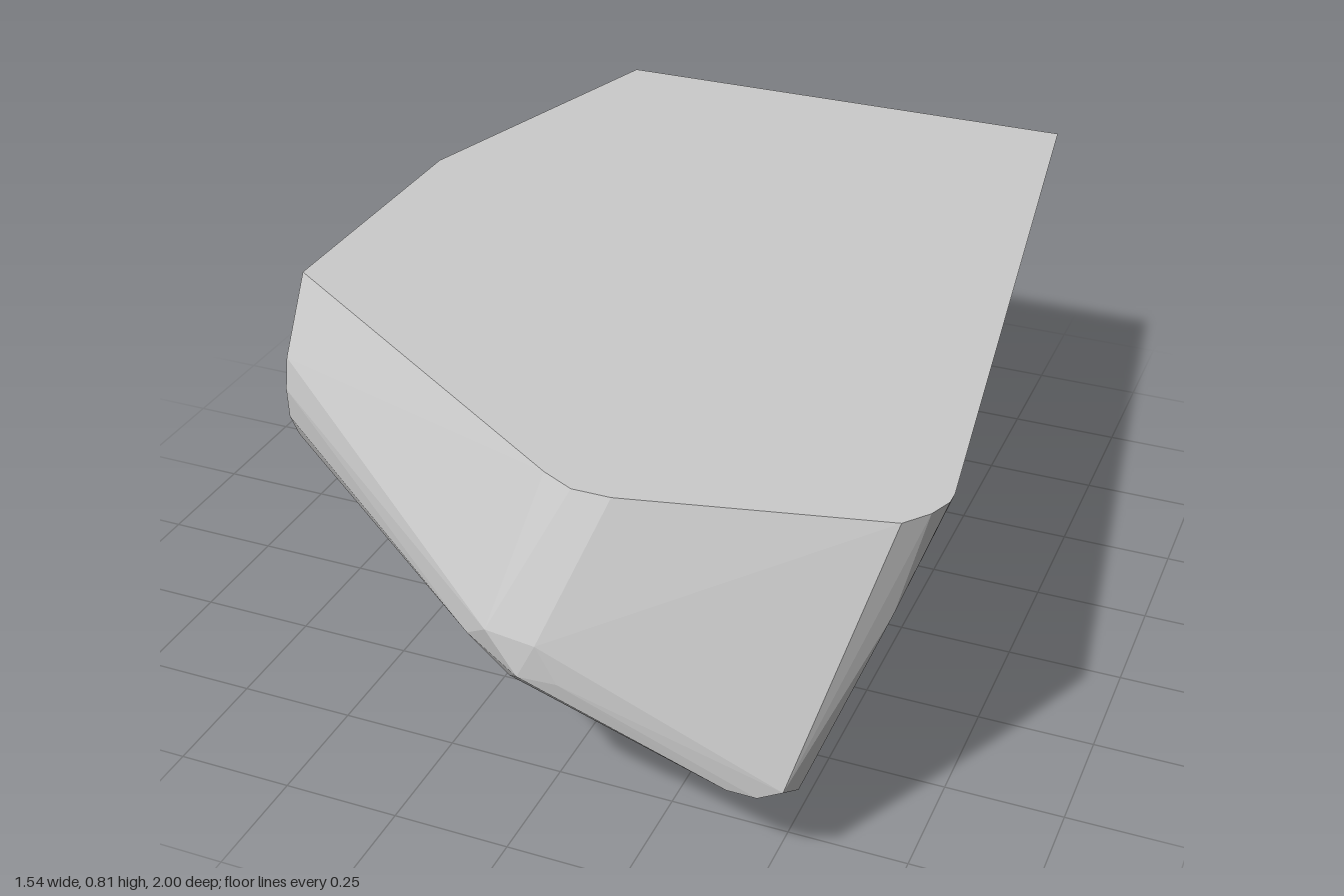
import * as THREE from 'three';
import { ConvexGeometry } from 'three/addons/geometries/ConvexGeometry.js';

const TOP = 0.81, BACK = -1, RIGHT = -0.775;

export function createModel() {
  const group = new THREE.Group();
  group.name = 'rockChunk';

  // flat top outline (x, z)
  const top = [
    [-0.57, BACK], [0.54, BACK], [0.77, 0.66], [0.77, 0.69], [0.75, 0.74], [0.71, 0.79],
    [0.2, 0.905], [0.12, 0.905], [0.05, 0.87], [RIGHT, 0.33], [RIGHT, -0.3],
  ].map(([x, z]) => [x, TOP, z]);

  // flat cut at the back (x, y)
  const backCut = [
    [0.451, 0.59], [0.43, 0.535], [0.373, 0.49], [-0.055, 0.612],
  ].map(([x, y]) => [x, y, BACK]);

  // flat cut on the right, with a rounded front edge (y, z)
  const rightCut = [
    [0.65, 0.425], [0.58, 0.44], [0.51, 0.437], [0.45, 0.408], [0.39, 0.345], [0.342, 0.18], [0.335, 0.07],
  ].map(([y, z]) => [RIGHT, y, z]);

  // lowest corner and the left lower edge
  const keel = [[0.32, 0, -0.07], [0.374, 0.08, -0.03], [0.485, 0.14, 0.6]];

  // rounded nose where the two front faces meet
  const nose = [
    [0.08, 0.51, 1], [-0.03, 0.51, 0.985], [-0.09, 0.46, 0.945],
    [0.04, 0.43, 1], [0.12, 0.43, 0.995], [0, 0.387, 0.95],
  ];

  // rounded lower left front corner
  const frontCorner = [
    [0.44, 0.235, 0.94], [0.5, 0.23, 0.935], [0.55, 0.255, 0.93],
    [0.56, 0.22, 0.87], [0.575, 0.26, 0.86], [0.7, 0.6, 0.775],
  ];

  const points = [...top, ...backCut, ...rightCut, ...keel, ...nose, ...frontCorner]
    .map((p) => new THREE.Vector3(...p));
  const rock = new THREE.Mesh(
    new ConvexGeometry(points),
    new THREE.MeshStandardMaterial({ color: 0xcccccc, flatShading: true }),
  );
  rock.name = 'rock';
  group.add(rock);
  return group;
}
